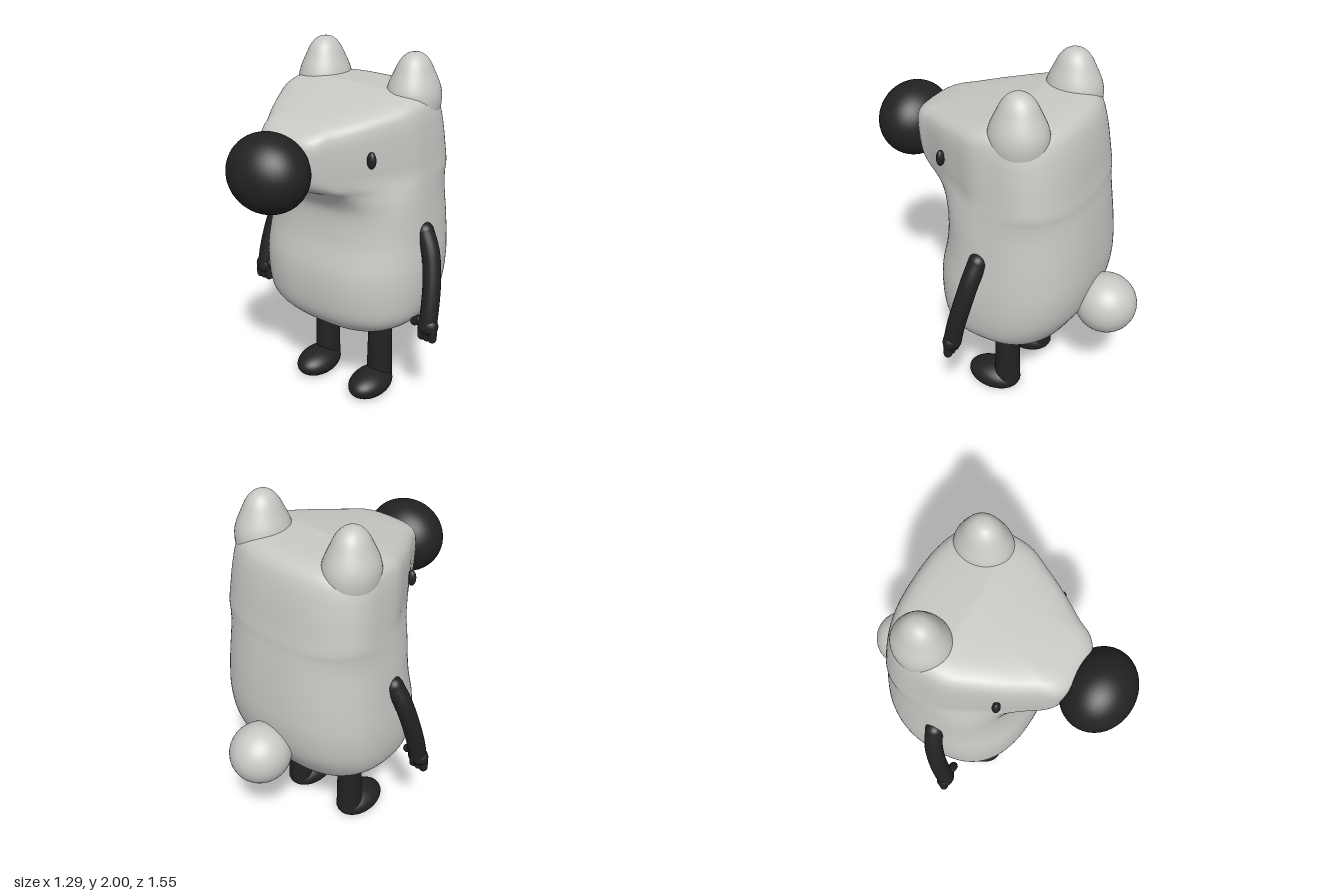
import * as THREE from 'three';

const fur = new THREE.MeshStandardMaterial({ color: 0xc8c8c5 });
fur.name = 'pale grey fur';
const dark = new THREE.MeshStandardMaterial({ color: 0x222222 });
dark.name = 'soft black';

function add(parent, name, geometry, material, x = 0, y = 0, z = 0) {
  const mesh = new THREE.Mesh(geometry, material);
  mesh.name = name;
  mesh.position.set(x, y, z);
  parent.add(mesh);
  return mesh;
}

const ellipsoid = (rx, ry, rz) => new THREE.SphereGeometry(1, 40, 28).scale(rx, ry, rz);

// Body and head: rings of [height, half width, back z, front z, snout amount]
const RINGS = [
  [0.425, 0, -0.1, -0.1, 0],
  [0.432, 0.16, -0.25, 0.04, 0],
  [0.46, 0.28, -0.33, 0.11, 0],
  [0.52, 0.39, -0.4, 0.2, 0],
  [0.6, 0.465, -0.455, 0.265, 0],
  [0.72, 0.495, -0.52, 0.29, 0],
  [0.88, 0.5, -0.55, 0.29, 0],
  [1.05, 0.487, -0.545, 0.255, 0],
  [1.2, 0.475, -0.53, 0.245, 0],
  [1.28, 0.468, -0.52, 0.27, 0.15],
  [1.35, 0.463, -0.51, 0.335, 0.5],
  [1.4, 0.46, -0.505, 0.425, 0.85],
  [1.46, 0.455, -0.495, 0.472, 1],
  [1.6, 0.445, -0.475, 0.49, 1],
  [1.71, 0.432, -0.45, 0.49, 1],
  [1.77, 0.41, -0.42, 0.46, 1],
  [1.802, 0.355, -0.37, 0.39, 1],
  [1.815, 0.24, -0.28, 0.2, 1],
  [1.82, 0, -0.1, -0.1, 1],
];

function bodyGeometry() {
  const curve = (pick) => new THREE.CatmullRomCurve3(
    RINGS.map((r) => new THREE.Vector3(...pick(r))), false, 'catmullrom');
  const sizes = curve((r) => [r[0], r[1], r[4]]);
  const depths = curve((r) => [r[2], r[3], 0]);
  // Tapered outline of the muzzle, seen from above
  const muzzle = new THREE.SplineCurve([
    [1, 0], [0.98, 0.22], [0.86, 0.4], [0.7, 0.6], [0.51, 0.8], [0.41, 0.92], [0.25, 0.985], [0, 1],
  ].map((p) => new THREE.Vector2(...p)));

  const rows = (RINGS.length - 1) * 5, around = 96;
  const positions = [], index = [];
  for (let j = 0; j <= rows; j++) {
    const { x: y, y: width, z: snout } = sizes.getPoint(j / rows);
    const { x: back, y: front } = depths.getPoint(j / rows);
    const w = Math.max(0, width);
    const h = THREE.MathUtils.clamp(snout, 0, 1);
    const middle = back + (0.5 - 0.21 * h) * (front - back);
    for (let i = 0; i < around; i++) {
      const a = (i / around) * Math.PI * 2;
      const c = Math.cos(a), s = Math.sin(a);
      let u = Math.abs(c) ** 0.8, v = Math.abs(s) ** 0.8;
      if (s > 0) {
        const p = muzzle.getPoint(Math.min(1, Math.min(a, Math.PI - a) / (Math.PI / 2)));
        u = THREE.MathUtils.lerp(u, p.x, h);
        v = THREE.MathUtils.lerp(v, p.y, h);
      }
      const z = middle + v * (s > 0 ? front - middle : back - middle);
      // The top of the head slopes down towards the nose
      const slope = 0.17 * THREE.MathUtils.clamp((y - 1.5) / 0.3, 0, 1);
      positions.push(Math.sign(c) * u * w, y - slope * Math.max(0, z + 0.1), z);
      if (j < rows) {
        const k = j * around + i, n = j * around + ((i + 1) % around);
        index.push(k, k + around, n, n, k + around, n + around);
      }
    }
  }
  const geometry = new THREE.BufferGeometry();
  geometry.setAttribute('position', new THREE.Float32BufferAttribute(positions, 3));
  geometry.setIndex(index);
  geometry.computeVertexNormals();
  return geometry;
}

// Rounded cone that swells into the head
function earGeometry() {
  const profile = new THREE.SplineCurve([
    [0, 1.6], [0.08, 1.615], [0.125, 1.67], [0.141, 1.75], [0.134, 1.82], [0.102, 1.9],
    [0.075, 1.955], [0.04, 1.99], [0, 2],
  ].map((p) => new THREE.Vector2(...p)));
  const points = profile.getPoints(32).map((p) => new THREE.Vector2(Math.max(0, p.x), p.y));
  return new THREE.LatheGeometry(points, 40).scale(1, 1, 1.1);
}

// Foot with a flattened sole
function footGeometry() {
  const geometry = ellipsoid(0.11, 0.08, 0.16);
  const p = geometry.attributes.position;
  for (let i = 0; i < p.count; i++) p.setY(i, Math.max(p.getY(i), -0.068));
  geometry.computeVertexNormals();
  return geometry;
}

function addArm(parent, side) {
  const arm = new THREE.Group();
  arm.name = side > 0 ? 'leftArm' : 'rightArm';
  parent.add(arm);
  const path = new THREE.CatmullRomCurve3([
    [0.475, 1.1, -0.092], [0.525, 1.0, -0.075], [0.56, 0.86, -0.045], [0.577, 0.72, -0.012], [0.582, 0.6, 0.012],
  ].map(([x, y, z]) => new THREE.Vector3(x * side, y, z)));
  add(arm, 'sleeve', new THREE.TubeGeometry(path, 32, 0.049, 20), dark);
  add(arm, 'shoulder', ellipsoid(0.049, 0.049, 0.049), dark, side * 0.475, 1.1, -0.092);
  add(arm, 'palm', ellipsoid(0.06, 0.055, 0.046), dark, side * 0.583, 0.61, 0.012);
  for (const x of [0.552, 0.585, 0.618]) {
    add(arm, 'finger', new THREE.CapsuleGeometry(0.024, 0.05, 6, 14), dark, side * x, 0.566, 0.018);
  }
  const thumb = add(arm, 'thumb', new THREE.CapsuleGeometry(0.024, 0.04, 6, 14), dark, side * 0.52, 0.625, 0.02);
  thumb.rotation.z = side * -0.9;
}

export function createModel() {
  const model = new THREE.Group();
  model.name = 'roundNosedAnimal';

  add(model, 'body', bodyGeometry(), fur);
  add(model, 'tail', ellipsoid(0.164, 0.166, 0.17), fur, 0, 0.712, -0.608);
  add(model, 'nose', ellipsoid(0.22, 0.202, 0.188), dark, 0, 1.525, 0.587);

  for (const side of [1, -1]) {
    const label = side > 0 ? 'left' : 'right';
    add(model, label + 'Ear', earGeometry(), fur, side * 0.291, 0, -0.222);
    add(model, label + 'Eye', ellipsoid(0.025, 0.044, 0.021), dark, side * 0.335, 1.55, 0.203);
    addArm(model, side);
    add(model, label + 'Leg', new THREE.CylinderGeometry(0.067, 0.075, 0.41, 32), dark, side * 0.193, 0.275, -0.103);
    add(model, label + 'Foot', footGeometry(), dark, side * 0.193, 0.07, -0.015);
  }
  return model;
}
